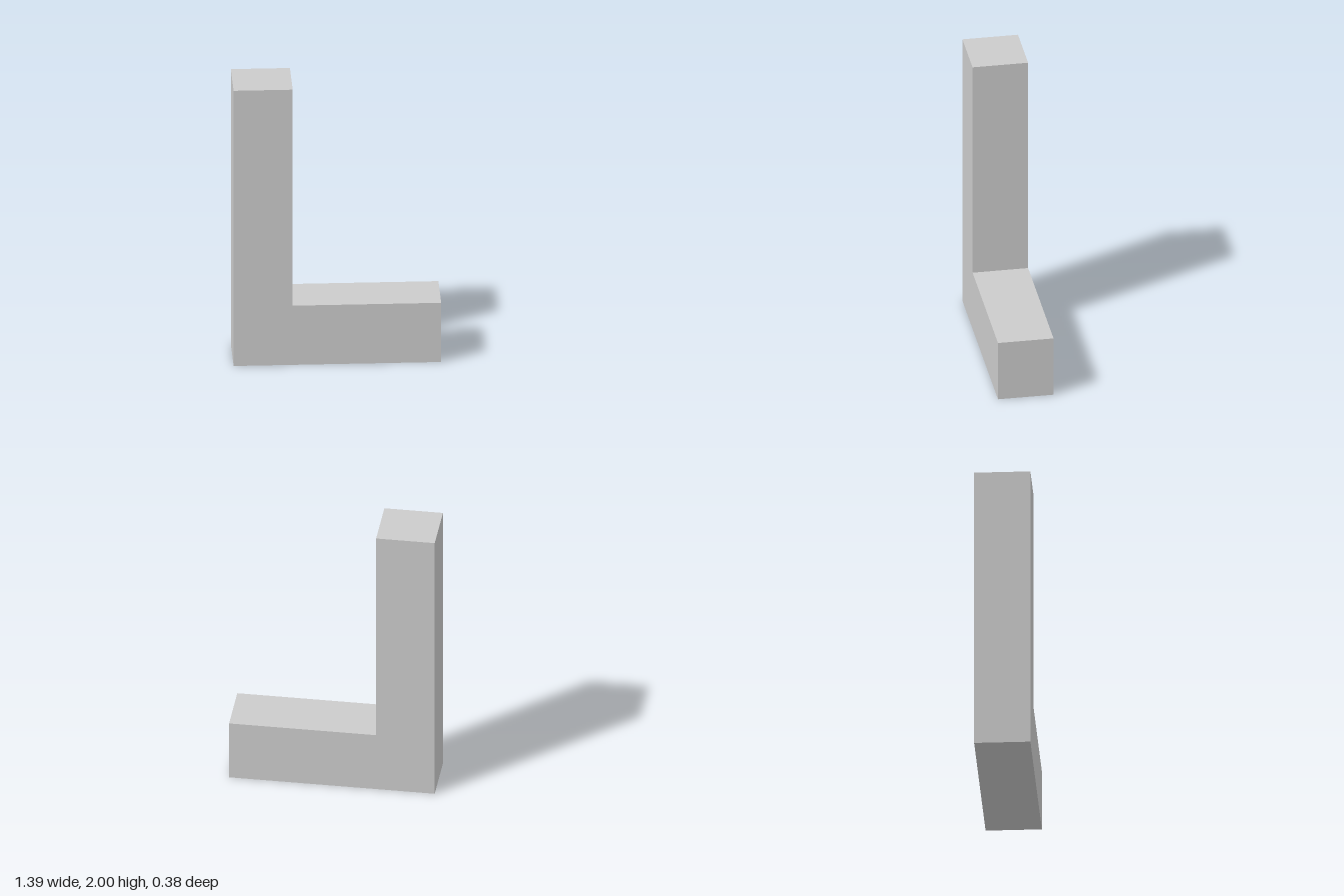
import * as THREE from 'three';

export function createModel() {
  const halfWidth = 0.697, height = 2, depth = 0.378;
  const innerX = -0.30; // inner face of the upright
  const footTop = 0.43; // top of the foot

  // Right-angled outline: tall upright and horizontal foot in one solid
  const outline = new THREE.Shape([
    [-halfWidth, 0], [halfWidth, 0], [halfWidth, footTop],
    [innerX, footTop], [innerX, height], [-halfWidth, height],
  ].map(([x, y]) => new THREE.Vector2(x, y)));

  const geometry = new THREE.ExtrudeGeometry(outline, { depth, bevelEnabled: false });
  geometry.translate(0, 0, -depth / 2);

  const block = new THREE.Mesh(
    geometry,
    new THREE.MeshStandardMaterial({ color: 0xcccccc, flatShading: true }),
  );
  block.name = 'angleBlock';

  const model = new THREE.Group();
  model.name = 'rightAngleBlock';
  model.add(block);
  return model;
}
